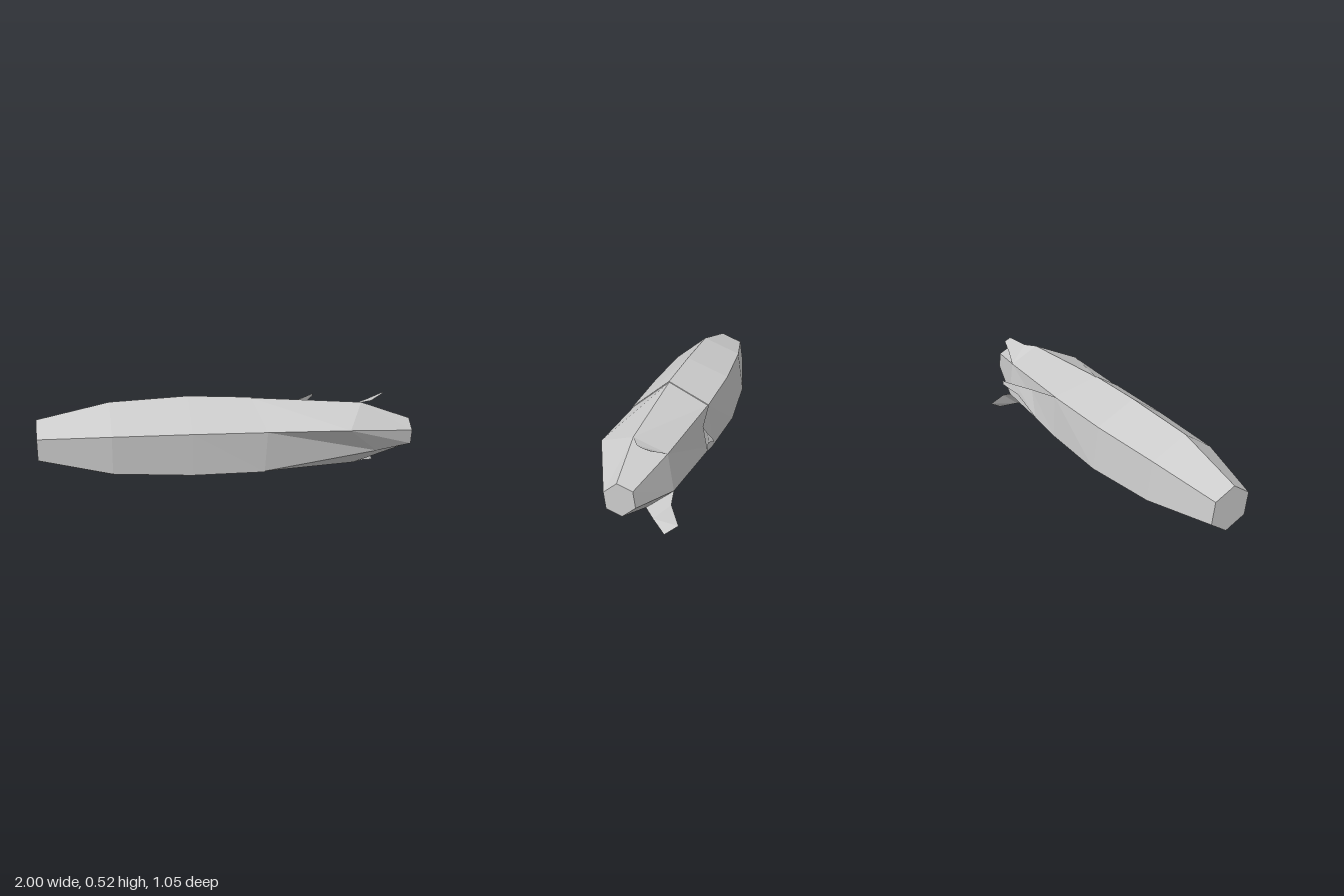
import * as THREE from 'three';

const V = (x, y, z) => new THREE.Vector3(x, y, z);
const material = new THREE.MeshStandardMaterial({ color: 0xcccccc, flatShading: true, side: THREE.DoubleSide });

// Six-sided ring square to the slanting long axis
function ring(x, y, z, r) {
  return Array.from({ length: 6 }, (_, i) => {
    const a = THREE.MathUtils.degToRad(-22 + 60 * i);
    const s = r * Math.cos(a);
    return V(x + 0.4 * s, y + r * Math.sin(a), z - 0.917 * s);
  });
}

// Skin a list of cross-sections; closed sections wrap round, caps are optional
function loft(name, rows, closed, capStart = false, capEnd = false) {
  const pos = [];
  const tri = (...pts) => pts.forEach((p) => pos.push(p.x, p.y, p.z));
  for (let k = 0; k < rows.length - 1; k++) {
    const a = rows[k], b = rows[k + 1], n = a.length;
    for (let i = 0; i < (closed ? n : n - 1); i++) {
      const j = (i + 1) % n;
      tri(a[i], a[j], b[j]);
      tri(a[i], b[j], b[i]);
    }
  }
  const first = rows[0], last = rows[rows.length - 1];
  for (let i = 1; i < first.length - 1; i++) {
    if (capStart) tri(first[0], first[i + 1], first[i]);
    if (capEnd) tri(last[0], last[i], last[i + 1]);
  }
  const g = new THREE.BufferGeometry();
  g.setAttribute('position', new THREE.Float32BufferAttribute(pos, 3));
  g.computeVertexNormals();
  const mesh = new THREE.Mesh(g, material);
  mesh.name = name;
  return mesh;
}

export function createModel() {
  const group = new THREE.Group();
  group.name = 'peeledPod';

  // Uneven rims where the outer skin splits
  const rim = [V(0.27, 0.165, -0.113), V(0.27, 0.41, -0.09), V(0.107, 0.495, 0.1),
    V(0.085, 0.35, 0.3), V(0.095, 0.105, 0.26), V(0.11, 0.04, 0.037)];
  const neck = [V(0.77, 0.165, 0.167), V(0.76, 0.362, 0.195), V(0.69, 0.432, 0.355),
    V(0.5, 0.34, 0.5), V(0.74, 0.16, 0.45), V(0.7, 0.047, 0.3)];
  const shrink = (pts, c, f) => pts.map((p) => p.clone().sub(c).multiplyScalar(f).add(c));
  const inset = shrink(rim, V(0.175, 0.268, 0.095), 0.98);

  // Outer skin, with a narrow ledge down to the core
  group.add(loft('outerSkin', [
    ring(-0.952, 0.29, -0.415, 0.128),
    ring(-0.592, 0.28, -0.25, 0.226),
    ring(-0.196, 0.266, -0.085, 0.252),
    rim, inset,
  ], true, true));

  // Core from the split to the blunt tip
  group.add(loft('core', [inset, neck, ring(0.967, 0.235, 0.452, 0.085)], true, false, true));

  // Peeled flaps curling away from the rims
  group.add(loft('backFlap', [
    [rim[0], rim[1]],
    [V(0.43, 0.21, -0.057), V(0.47, 0.37, -0.025)],
    [V(0.56, 0.32, -0.04), V(0.57, 0.375, -0.033)],
    [V(0.655, 0.365, -0.05), V(0.66, 0.385, -0.045)],
  ], false));
  group.add(loft('topFlap', [
    [neck[1], neck[2]],
    [V(0.82, 0.4, 0.25), V(0.77, 0.425, 0.348)],
    [V(0.885, 0.44, 0.3), V(0.87, 0.453, 0.338)],
  ], false));
  group.add(loft('bottomFlap', [
    [neck[5], neck[0]],
    [V(0.8, 0.035, 0.277), V(0.84, 0.125, 0.19)],
    [V(0.905, 0.0, 0.235), V(0.92, 0.05, 0.167)],
  ], false));
  return group;
}
